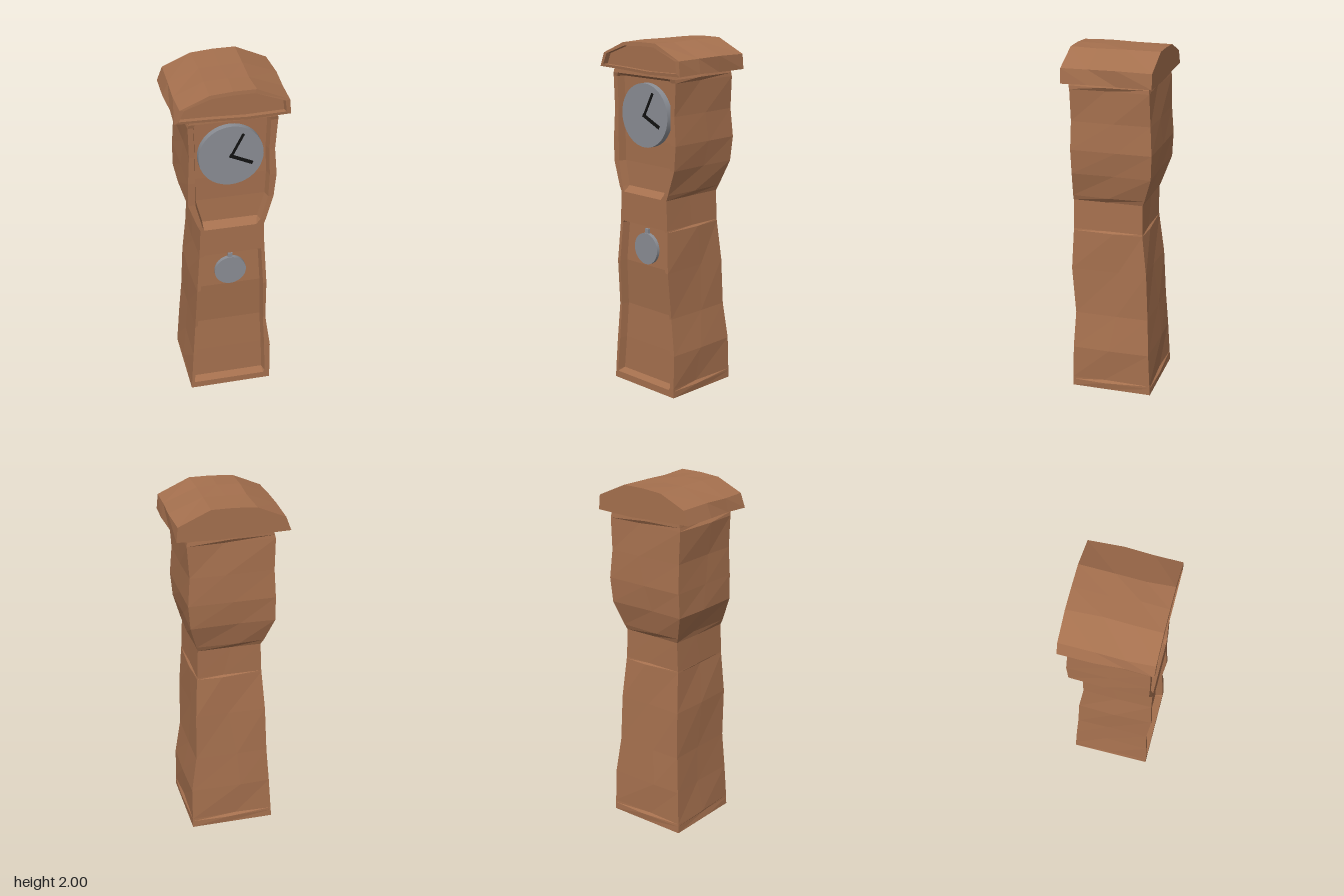
import * as THREE from 'three';

const wood = new THREE.MeshStandardMaterial({ color: 0xa5704e, flatShading: true });
const grey = new THREE.MeshStandardMaterial({ color: 0x8a8d94 });
const black = new THREE.MeshStandardMaterial({ color: 0x111111 });

// Skin a list of rings (counter-clockwise seen from the far end) and cap both ends
function loft(rings) {
  const n = rings[0].length, pos = [], idx = [];
  rings.forEach(r => r.forEach(p => pos.push(...p)));
  for (let i = 0; i < rings.length - 1; i++) {
    for (let j = 0; j < n; j++) {
      const a = i * n + j, b = i * n + (j + 1) % n;
      idx.push(a, b, b + n, a, b + n, a + n);
    }
  }
  [0, rings.length - 1].forEach(k => {
    const c = pos.length / 3;
    pos.push(...[0, 1, 2].map(d => rings[k].reduce((s, p) => s + p[d], 0) / n));
    for (let j = 0; j < n; j++) {
      const a = k * n + j, b = k * n + (j + 1) % n;
      if (k === 0) idx.push(c, b, a); else idx.push(c, a, b);
    }
  });
  const g = new THREE.BufferGeometry();
  g.setAttribute('position', new THREE.Float32BufferAttribute(pos, 3));
  g.setIndex(idx);
  const flat = g.toNonIndexed();
  flat.computeVertexNormals();
  return flat;
}

function add(parent, name, geometry, material) {
  const mesh = new THREE.Mesh(geometry, material);
  mesh.name = name;
  parent.add(mesh);
  return mesh;
}

// Case: each row is y, left, right, back, front, panel left, panel right, panel depth
function caseGeometry() {
  const D = 0.045;
  const rows = [
    [0.00, -0.24, 0.24, -0.24, 0.225, -0.22, 0.21, 0],
    [0.04, -0.238, 0.24, -0.238, 0.225, -0.22, 0.21, 0],
    [0.055, -0.237, 0.24, -0.237, 0.225, -0.22, 0.21, D],
    [0.25, -0.225, 0.24, -0.228, 0.22, -0.205, 0.205, D],
    [0.46, -0.21, 0.21, -0.215, 0.212, -0.195, 0.195, D],
    [0.73, -0.20, 0.205, -0.203, 0.235, -0.18, 0.185, D],
    [0.96, -0.183, 0.192, -0.176, 0.225, -0.165, 0.172, D],
    [0.97, -0.182, 0.19, -0.175, 0.225, -0.165, 0.17, 0],
    [1.14, -0.175, 0.185, -0.175, 0.225, -0.155, 0.15, 0],
    [1.17, -0.19, 0.195, -0.187, 0.225, -0.165, 0.165, D],
    [1.31, -0.24, 0.237, -0.233, 0.218, -0.20, 0.207, D],
    [1.45, -0.238, 0.25, -0.24, 0.22, -0.20, 0.212, D],
    [1.61, -0.23, 0.238, -0.23, 0.217, -0.20, 0.207, D],
    [1.79, -0.235, 0.25, -0.225, 0.22, -0.205, 0.212, D],
    [1.81, -0.23, 0.248, -0.222, 0.225, -0.205, 0.212, 0],
    [1.86, -0.22, 0.23, -0.22, 0.22, -0.2, 0.2, 0],
  ];
  return loft(rows.map(([y, l, r, b, f, pl, pr, d], i) => {
    const bump = i === 0 ? 0 : 0.008 * Math.sin(i * 2.3);
    return [
      [l, y, f], [pl, y, f], [pl + 0.01, y, f - d], [pr - 0.01, y, f - d], [pr, y, f], [r, y, f],
      [r + bump, y, 0.04 * Math.sin(i)], [r, y, b],
      [0.05 * Math.cos(i), y, b - bump], [l, y, b], [l + bump, y, 0.04 * Math.cos(i)],
    ];
  }));
}

// Roof: an uneven arched outline running front to back, with a sunk front face
function roofGeometry() {
  const outline = [[-0.31, 1.84], [-0.12, 1.835], [0.08, 1.825], [0.31, 1.832], [0.302, 1.915],
    [0.125, 1.995], [0, 1.995], [-0.125, 1.985], [-0.28, 1.918]];
  const ring = (z, scale, wobble) => outline.map(([x, y], j) => [
    x * scale + wobble * Math.sin(j * 2.1 + z * 9),
    1.9 + (y - 1.9) * (scale < 1 ? 0.78 : 1) + wobble * 0.6 * Math.cos(j * 1.7 + z * 7),
    z,
  ]);
  return loft([
    ring(-0.253, 1, 0), ring(-0.06, 1, 0.008), ring(0.1, 1, 0.008), ring(0.25, 1, 0),
    ring(0.252, 0.92, 0), ring(0.225, 0.9, 0),
  ]);
}

// Flat disc facing the front, its front surface at z
function disc(parent, name, radius, y, z, thickness) {
  const g = new THREE.CylinderGeometry(radius, radius, thickness, 40).rotateX(Math.PI / 2);
  add(parent, name, g, grey).position.set(0, y, z - thickness / 2);
}

// Clock hand from the dial centre to a tip
function hand(parent, name, tipX, tipY, width) {
  const length = Math.hypot(tipX, tipY);
  const g = new THREE.BoxGeometry(width, length + width, 0.006).translate(0, length / 2, 0);
  const mesh = add(parent, name, g, black);
  mesh.position.set(0, 1.59, 0.213);
  mesh.rotation.z = -Math.atan2(tipX, tipY);
}

export function createModel() {
  const clock = new THREE.Group();
  clock.name = 'grandfatherClock';
  add(clock, 'case', caseGeometry(), wood);
  add(clock, 'roof', roofGeometry(), wood);

  // Dial and hands
  disc(clock, 'dial', 0.178, 1.59, 0.21, 0.04);
  hand(clock, 'minuteHand', 0.063, 0.122, 0.013);
  hand(clock, 'hourHand', 0.108, -0.05, 0.018);

  // Pendulum
  const pendulum = new THREE.Group();
  pendulum.name = 'pendulum';
  disc(pendulum, 'bob', 0.09, 0.83, 0.205, 0.025);
  add(pendulum, 'rod', new THREE.BoxGeometry(0.026, 0.12, 0.016), grey).position.set(0, 0.885, 0.192);
  clock.add(pendulum);
  return clock;
}
